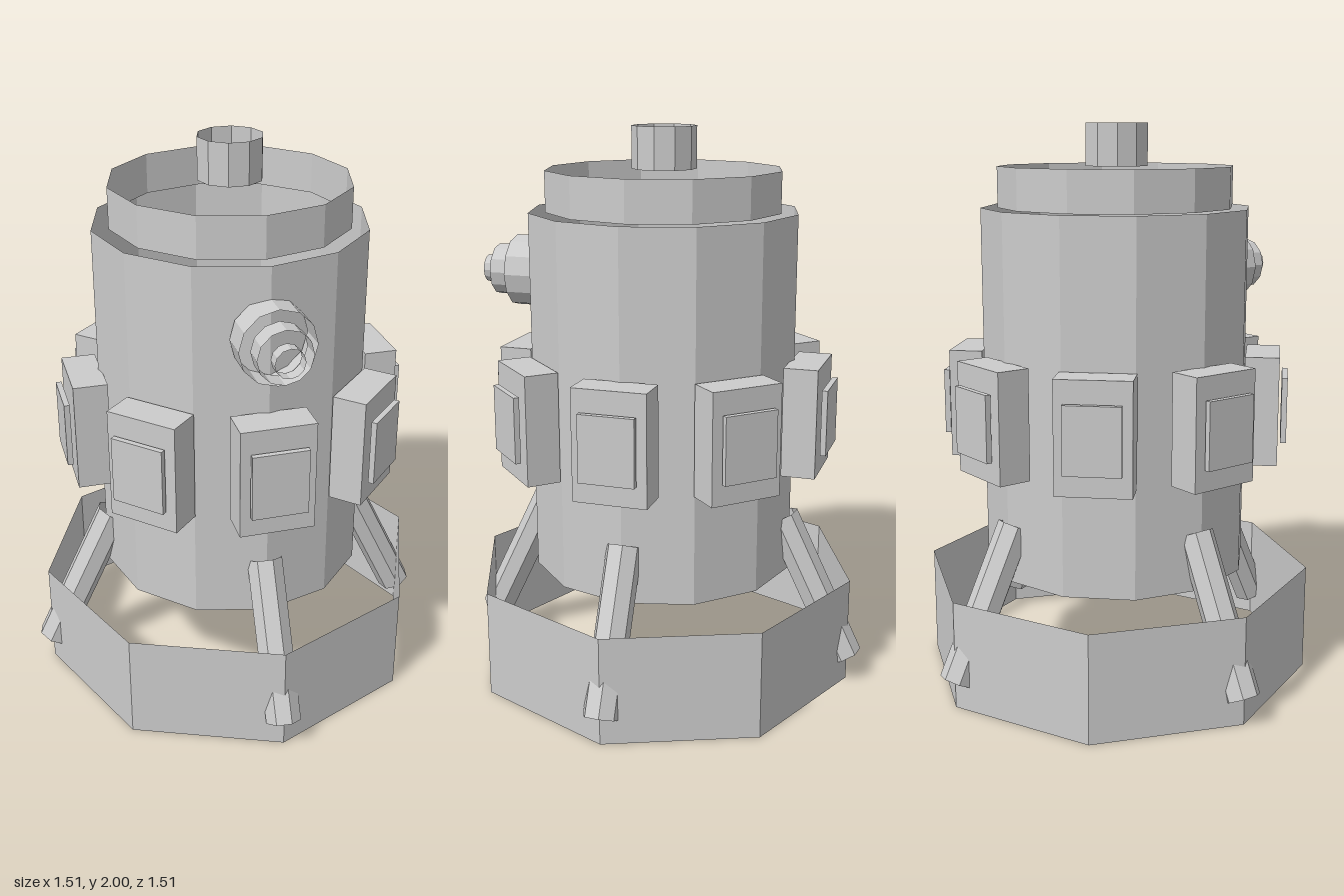
import * as THREE from 'three';

const grey = new THREE.MeshStandardMaterial({ color: 0xcccccc, side: THREE.DoubleSide, flatShading: true });
grey.name = 'plain grey';

function add(parent, name, geometry, x = 0, y = 0, z = 0) {
  const mesh = new THREE.Mesh(geometry, grey);
  mesh.name = name;
  mesh.position.set(x, y, z);
  parent.add(mesh);
  return mesh;
}

// open-ended faceted tube, standing on its y axis
const tube = (radius, height, sides) =>
  new THREE.CylinderGeometry(radius, radius, height, sides, 1, true);

// upright tube between two heights
const upright = (parent, name, radius, y0, y1, sides) =>
  add(parent, name, tube(radius, y1 - y0, sides), 0, (y0 + y1) / 2, 0);

export function createModel() {
  const model = new THREE.Group();
  model.name = 'capsule';

  // main shells
  upright(model, 'baseRing', 0.71, 0, 0.39, 8);
  upright(model, 'body', 0.48, 0.415, 1.71, 12);
  upright(model, 'collar', 0.42, 1.71, 1.853, 12);
  upright(model, 'topPipe', 0.114, 1.853, 2, 10).rotation.y = Math.PI / 2;

  // stepped nozzle on the front
  const nozzle = new THREE.Group();
  nozzle.name = 'nozzle';
  nozzle.position.y = 1.47;
  model.add(nozzle);
  for (const [name, radius, z0, z1] of [
    ['nozzleBase', 0.13, 0.46, 0.567],
    ['nozzleMiddle', 0.093, 0.567, 0.64],
    ['nozzleTip', 0.05, 0.64, 0.685],
  ]) {
    add(nozzle, name, tube(radius, z1 - z0, 12).rotateX(Math.PI / 2), 0, 0, (z0 + z1) / 2);
  }

  // eight boxes with raised panels around the waist
  for (let i = 0; i < 8; i++) {
    const unit = new THREE.Group();
    unit.name = 'sideBox';
    unit.rotation.y = (i * Math.PI) / 4;
    add(unit, 'box', new THREE.BoxGeometry(0.26, 0.39, 0.12), 0, 1.007, 0.53);
    add(unit, 'panel', new THREE.BoxGeometry(0.195, 0.234, 0.02), 0, 1.007, 0.61);
    model.add(unit);
  }

  // four seven-sided struts leaning out through the base ring
  for (let i = 0; i < 4; i++) {
    const leg = new THREE.Group();
    leg.name = 'strutMount';
    leg.rotation.y = (i * Math.PI) / 2;
    const geometry = tube(0.063, 0.578, 7).rotateY(-Math.PI / 2);
    add(leg, 'strut', geometry, 0, 0.355, 0.576).rotation.x = -0.452;
    model.add(leg);
  }
  return model;
}
